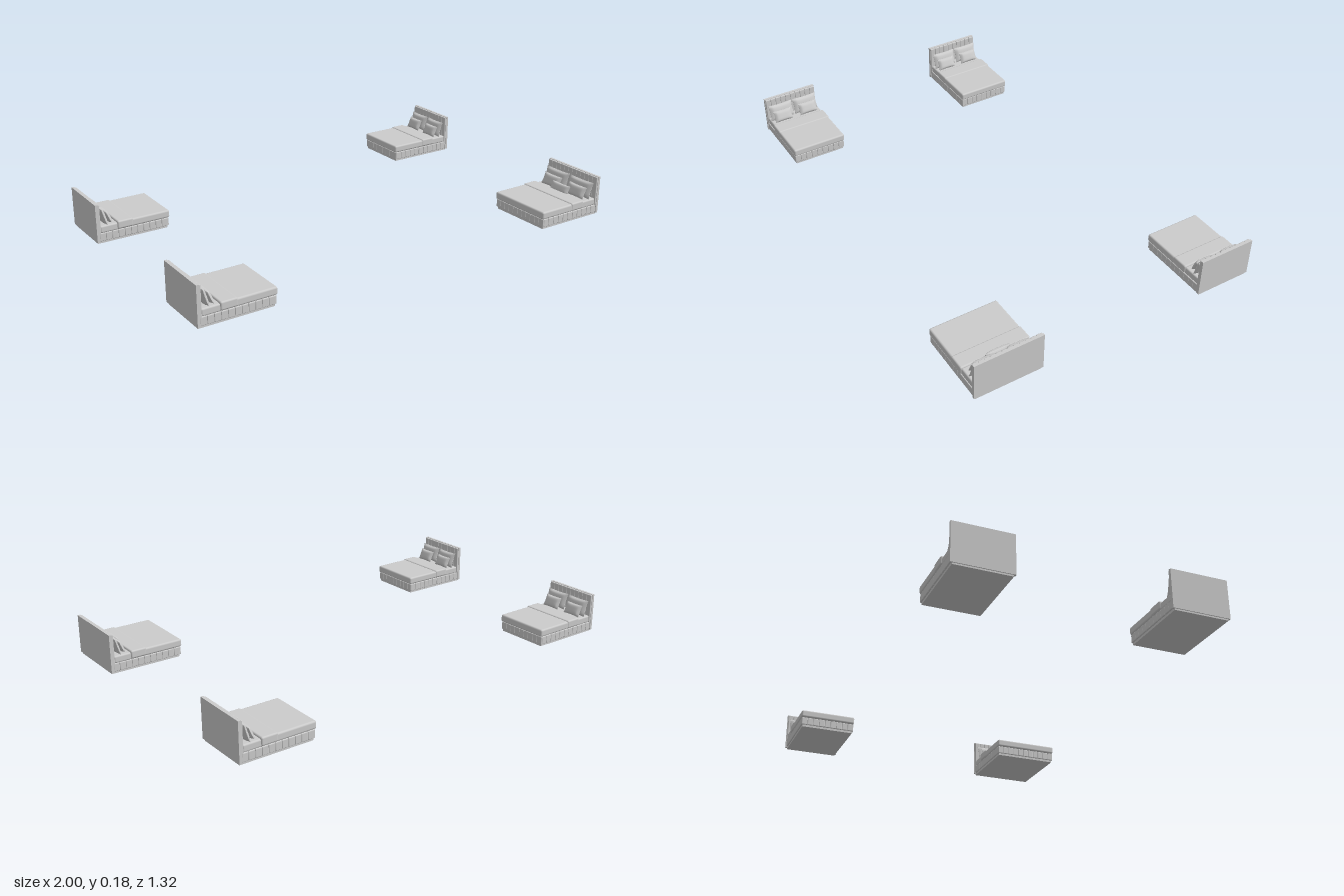
import * as THREE from 'three';
import { RoundedBoxGeometry } from 'three/addons/geometries/RoundedBoxGeometry.js';

const fabric = new THREE.MeshStandardMaterial({ color: 0xcccccc });
fabric.name = 'light grey fabric';

function add(group, name, geometry, x, y, z) {
  const mesh = new THREE.Mesh(geometry, fabric);
  mesh.name = name;
  mesh.position.set(x, y, z);
  group.add(mesh);
  return mesh;
}

// Rounded block given by its x and y limits, and its centre and width along z
function block(group, name, x0, x1, y0, y1, z, width, radius) {
  const geometry = new RoundedBoxGeometry(x1 - x0, y1 - y0, width, 2, radius);
  return add(group, name, geometry, (x0 + x1) / 2, (y0 + y1) / 2, z);
}

// Cushion: a flat box puffed in the middle, with pinched sides and pointed corners
function cushionGeometry(width, height, thickness) {
  const geometry = new THREE.BoxGeometry(2, 2, 2, 2, 12, 12);
  const p = geometry.attributes.position;
  for (let i = 0; i < p.count; i++) {
    const v = p.getY(i), u = p.getZ(i);
    const puff = 0.08 + 0.92 * Math.sqrt((1 - u ** 4) * (1 - v ** 4));
    p.setXYZ(i,
      p.getX(i) * puff * thickness / 2,
      v * (1 - 0.07 * (1 - u * u)) * height / 2,
      u * (1 - 0.05 * (1 - v * v)) * width / 2);
  }
  geometry.computeVertexNormals();
  return geometry;
}

// Cushion standing on the mattress and leaning back against the headboard
function cushion(group, name, x, z, width, height, thickness, lean) {
  const y = 0.077 + Math.cos(lean) * height / 2;
  add(group, name, cushionGeometry(width, height, thickness), x, y, z).rotation.z = lean;
}

// One bed: headboard back at x = 0, foot towards +x, centred on z = 0
function bed(width, hasLumbar) {
  const g = new THREE.Group();
  const half = width / 2;

  // Plinth and base body
  add(g, 'plinth', new THREE.BoxGeometry(0.324, 0.014, width - 0.016), 0.166, 0.007, 0);
  add(g, 'baseBody', new THREE.BoxGeometry(0.322, 0.034, width - 0.014), 0.167, 0.027, 0);

  // Channelled upholstery on the foot and both sides
  const footCount = Math.round(width / 0.028);
  const footStep = (width - 0.006) / footCount;
  for (let i = 0; i < footCount; i++) {
    const z = (i + 0.5 - footCount / 2) * footStep;
    block(g, 'footChannel', 0.32, 0.333, 0.010, 0.046, z, footStep, 0.003);
  }
  const sideCount = 11, sideStep = 0.316 / sideCount;
  for (const s of [-1, 1]) {
    for (let i = 0; i < sideCount; i++) {
      const x = 0.012 + i * sideStep;
      block(g, 'sideChannel', x, x + sideStep, 0.010, 0.046, s * (half - 0.008), 0.012, 0.003);
    }
  }

  // Headboard slab with vertical channels on its face
  add(g, 'headboard', new THREE.BoxGeometry(0.012, 0.171, width), 0.006, 0.0925, 0);
  const headCount = Math.round(width / 0.0255);
  const headStep = (width - 0.004) / headCount;
  for (let i = 0; i < headCount; i++) {
    const z = (i + 0.5 - headCount / 2) * headStep;
    block(g, 'headboardChannel', 0.008, 0.02, 0.04, 0.176, z, headStep, 0.003);
  }

  // Mattress, duvet and folded top edge
  block(g, 'mattress', 0.018, 0.325, 0.045, 0.077, 0, width - 0.008, 0.007);
  block(g, 'duvet', 0.098, 0.338, 0.047, 0.081, 0, width, 0.008);
  block(g, 'duvetFold', 0.095, 0.167, 0.049, 0.085, 0, width + 0.003, 0.007);

  // Two sleeping pillows behind two smaller cushions
  for (const s of [-1, 1]) {
    cushion(g, 'backPillow', 0.041, s * half * 0.48, half * 0.92, 0.076, 0.026, 0.3);
    cushion(g, 'frontCushion', 0.066, s * half * 0.5, half * 0.7, 0.056, 0.024, 0.42);
  }
  if (hasLumbar) cushion(g, 'lumbarCushion', 0.089, 0, 0.11, 0.042, 0.02, 0.45);
  return g;
}

export function createModel() {
  const model = new THREE.Group();
  model.name = 'fourBeds';
  // [name, side of x the head stands on, z centre, width, lumbar cushion]
  const layout = [
    ['bedBackRight', -1, -0.402, 0.255, false],
    ['bedFrontRight', -1, 0.502, 0.255, false],
    ['bedBackLeft', 1, -0.53, 0.258, false],
    ['bedFrontLeft', 1, 0.505, 0.305, true],
  ];
  for (const [name, side, z, width, lumbar] of layout) {
    const b = bed(width, lumbar);
    b.name = name;
    b.position.set(side, 0, z);
    if (side > 0) b.rotation.y = Math.PI;
    model.add(b);
  }
  return model;
}
